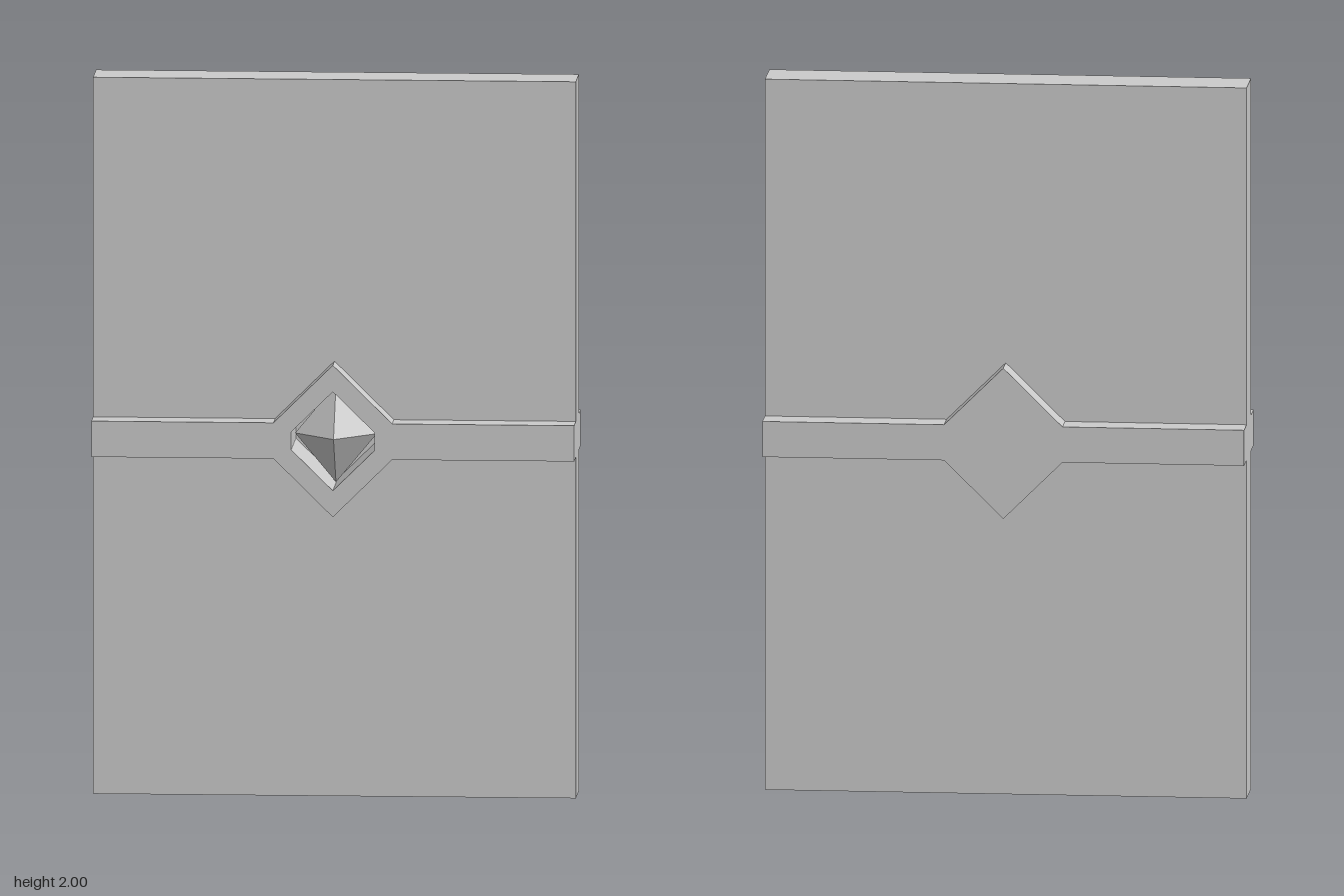
import * as THREE from 'three';

const W = 0.667, MID = 1.002, SLAB = 0.067, FRONT = 0.143;
const material = new THREE.MeshStandardMaterial({ color: 0xcccccc, flatShading: true });

const outline = (points, Type = THREE.Shape) =>
  new Type(points.map(([x, y]) => new THREE.Vector2(x, y)));

// Diamond opening with its side corners cut off
const opening = () => outline([
  [0, MID + 0.138], [-0.115, MID + 0.025], [-0.115, MID - 0.025],
  [0, MID - 0.138], [0.115, MID - 0.025], [0.115, MID + 0.025],
], THREE.Path);

// Horizontal band widening to a diamond in the middle
const bandShape = () => outline([
  [-W, MID - 0.05], [-0.164, MID - 0.05], [0, MID - 0.212], [0.164, MID - 0.05], [W, MID - 0.05],
  [W, MID + 0.05], [0.164, MID + 0.05], [0, MID + 0.212], [-0.164, MID + 0.05], [-W, MID + 0.05],
]);

function plate(name, shape, z0, z1, pierced) {
  if (pierced) shape.holes.push(opening());
  const geometry = new THREE.ExtrudeGeometry(shape, { depth: z1 - z0, bevelEnabled: false });
  geometry.translate(0, 0, z0);
  const mesh = new THREE.Mesh(geometry, material);
  mesh.name = name;
  return mesh;
}

export function createModel() {
  const model = new THREE.Group();
  model.name = 'doorPanel';

  // Upright slab, pierced for the gem
  const slab = outline([[-W, 0], [W, 0], [W, 2], [-W, 2]]);
  model.add(plate('slab', slab, -SLAB, SLAB, true));

  // Front band is open in the middle, back band closes the recess
  model.add(plate('frontBand', bandShape(), SLAB, FRONT, true));
  model.add(plate('backBand', bandShape(), -FRONT, -SLAB, false));

  // Faceted gem sunk in the opening
  const gemGeometry = new THREE.OctahedronGeometry(1);
  gemGeometry.scale(0.113, 0.136, 0.113);
  const gem = new THREE.Mesh(gemGeometry, material);
  gem.name = 'gem';
  gem.position.y = MID;
  model.add(gem);

  return model;
}
